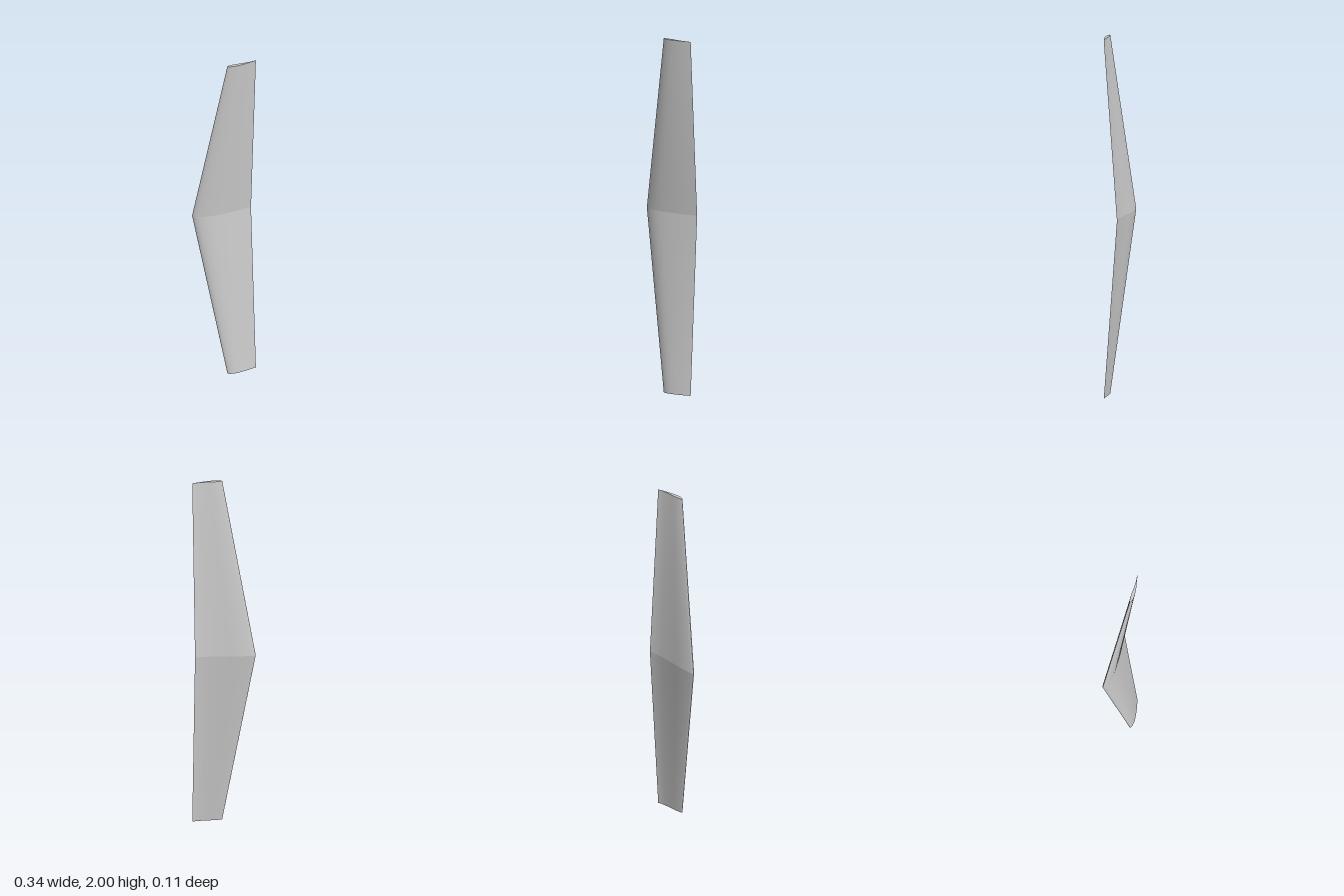
import * as THREE from 'three';

// Aerofoil sides as [fraction of chord, offset as fraction of chord]
const upper = [[1, 0], [0.9, 0.021], [0.8, 0.04], [0.7, 0.057], [0.6, 0.071], [0.5, 0.083], [0.4, 0.091],
  [0.3, 0.095], [0.2, 0.09], [0.1, 0.07], [0.05, 0.05], [0.025, 0.034], [0.008, 0.018], [0, 0]];
const lower = [[0.008, -0.009], [0.03, -0.015], [0.06, -0.019], [0.12, -0.023], [0.2, -0.024], [0.3, -0.02], [0.4, -0.011],
  [0.5, -0.001], [0.6, 0.007], [0.7, 0.013], [0.8, 0.016], [0.9, 0.012], [1, 0]];
const profile = new THREE.CatmullRomCurve3([...upper, ...lower].map(([u, v]) => new THREE.Vector3(u, 0, v)))
  .getPoints(78);

// Leading edge and trailing edge in (x, z) at the two ends of a panel
const root = { lead: [-0.171, -0.048], trail: [0.162, -0.048] };
const tip = { lead: [0.004, 0.043], trail: [0.17, 0.025] };

// Profile stretched between the edges of a section, turned with its twist
function section({ lead, trail }) {
  const dx = trail[0] - lead[0], dz = trail[1] - lead[1];
  return profile.map(p => new THREE.Vector2(
    lead[0] + dx * p.x - dz * p.z,
    lead[1] + dz * p.x + dx * p.z));
}

const rootLoop = section(root), tipLoop = section(tip);

function geometryFrom(positions, index) {
  const g = new THREE.BufferGeometry();
  g.setAttribute('position', new THREE.Float32BufferAttribute(positions, 3));
  g.setIndex(index);
  g.computeVertexNormals();
  return g;
}

// Skin lofted from root to tip; side is +1 for the upper half, -1 for the lower
function panelGeometry(side) {
  const rows = 8, n = rootLoop.length, pos = [], index = [];
  for (let j = 0; j <= rows; j++) {
    for (let i = 0; i < n; i++) {
      const p = rootLoop[i].clone().lerp(tipLoop[i], j / rows);
      pos.push(p.x, 1 + side * j / rows, p.y);
      if (j === rows || i === n - 1) continue;
      const a = j * n + i, b = a + 1, c = a + n, d = c + 1;
      if (side > 0) index.push(a, c, b, b, c, d);
      else index.push(a, b, c, b, d, c);
    }
  }
  return geometryFrom(pos, index);
}

// Flat end closing the tip
function capGeometry(side) {
  const loop = tipLoop.slice(0, -1);
  const pos = loop.flatMap(p => [p.x, 1 + side, p.y]);
  const index = THREE.ShapeUtils.triangulateShape(loop, [])
    .flatMap(([a, b, c]) => side > 0 ? [a, c, b] : [a, b, c]);
  return geometryFrom(pos, index);
}

export function createModel() {
  const model = new THREE.Group();
  model.name = 'wing';
  const material = new THREE.MeshStandardMaterial({ color: 0xcccccc });
  const add = (name, geometry) => {
    const mesh = new THREE.Mesh(geometry, material);
    mesh.name = name;
    model.add(mesh);
  };
  // Two mirrored panels meeting in a crease at the root
  for (const [side, label] of [[1, 'upper'], [-1, 'lower']]) {
    add(label + 'WingPanel', panelGeometry(side));
    add(label + 'TipCap', capGeometry(side));
  }
  return model;
}
